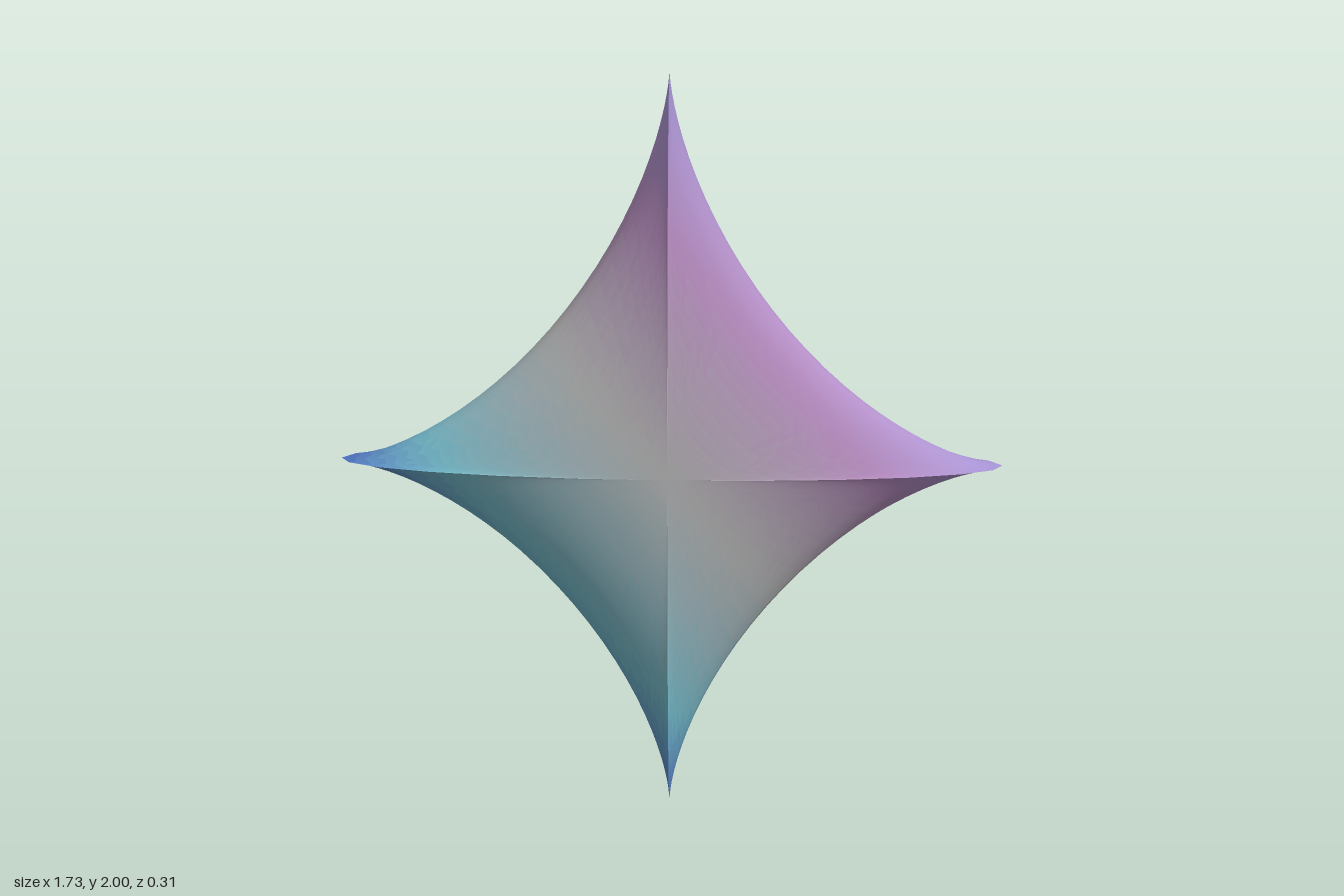
import * as THREE from 'three';

const HALF_W = 0.866, HALF_H = 1, HALF_D = 0.154; // half sizes of the star
const SIDE = 32;                                  // steps along each concave side
const RINGS = 12, SUB = 3;                        // rings back to front, each split for the colour bands
const BANDS = 40;

// Colour stops along the diagonal, lower left (-1) to upper right (+1)
const STOPS = [[-1, 0x4a68c0], [-0.65, 0x74bccb], [0, 0xbdbdbd], [0.6, 0xb88cc0], [1, 0xa596d8]];

function bandColor(s) {
  let i = 0;
  while (i < STOPS.length - 2 && s > STOPS[i + 1][0]) i++;
  const [s0, c0] = STOPS[i], [s1, c1] = STOPS[i + 1];
  return new THREE.Color(c0).lerp(new THREE.Color(c1), (s - s0) / (s1 - s0));
}

// Scale and depth of a ring: an ellipse profile made of straight chords
function ringAt(k) {
  const i = Math.min(Math.floor(k / SUB), RINGS - 1), f = k / SUB - i;
  const angle = (n) => -Math.PI / 2 + (n / RINGS) * Math.PI;
  const mix = (fn) => THREE.MathUtils.lerp(fn(angle(i)), fn(angle(i + 1)), f);
  return { scale: Math.max(0, mix(Math.cos)), depth: mix(Math.sin) };
}

function starGeometry() {
  const pos = [], nor = [];
  const bands = Array.from({ length: BANDS }, () => []);
  const rows = RINGS * SUB;

  // Sort a triangle into the colour band of its centre
  const addTriangle = (a, b, c) => {
    let s = 0;
    for (const v of [a, b, c]) s += (pos[v * 3] / HALF_W + pos[v * 3 + 1] / HALF_H) / 3;
    const n = Math.floor(((s + 1) / 2) * BANDS);
    bands[THREE.MathUtils.clamp(n, 0, BANDS - 1)].push(a, b, c);
  };

  // Four quadrants with their own normals, so the ridges between them stay sharp
  for (const [sx, sy] of [[1, 1], [-1, 1], [-1, -1], [1, -1]]) {
    const start = pos.length / 3;
    for (let k = 0; k <= rows; k++) {
      const { scale, depth } = ringAt(k);
      for (let j = 0; j <= SIDE; j++) {
        const t = (j / SIDE) * Math.PI / 2, c = Math.cos(t), s = Math.sin(t);
        pos.push(sx * HALF_W * scale * c ** 3, sy * HALF_H * scale * s ** 3, HALF_D * depth);
        const n = scale < 1e-6
          ? new THREE.Vector3(0, 0, Math.sign(depth))
          : new THREE.Vector3(sx * scale * s / HALF_W, sy * scale * c / HALF_H, depth * s * c / HALF_D);
        nor.push(...n.normalize().toArray());
      }
    }
    for (let k = 0; k < rows; k++) {
      for (let j = 0; j < SIDE; j++) {
        const a = start + k * (SIDE + 1) + j, b = a + 1, d = a + SIDE + 1, e = d + 1;
        const flip = sx * sy < 0;
        if (k > 0) flip ? addTriangle(a, d, b) : addTriangle(a, b, d);
        if (k < rows - 1) flip ? addTriangle(b, d, e) : addTriangle(b, e, d);
      }
    }
  }

  const geo = new THREE.BufferGeometry();
  geo.setAttribute('position', new THREE.Float32BufferAttribute(pos, 3));
  geo.setAttribute('normal', new THREE.Float32BufferAttribute(nor, 3));
  geo.setIndex(bands.flat());
  let offset = 0;
  bands.forEach((band, i) => {
    if (band.length) geo.addGroup(offset, band.length, i);
    offset += band.length;
  });
  return geo;
}

export function createModel() {
  const group = new THREE.Group();
  group.name = 'fourPointedStar';

  // One plain material for each step of the diagonal gradient
  const materials = Array.from({ length: BANDS }, (_, i) =>
    new THREE.MeshStandardMaterial({ color: bandColor(((i + 0.5) / BANDS) * 2 - 1) }));

  const star = new THREE.Mesh(starGeometry(), materials);
  star.name = 'starBody';
  star.position.y = HALF_H;
  group.add(star);
  return group;
}
